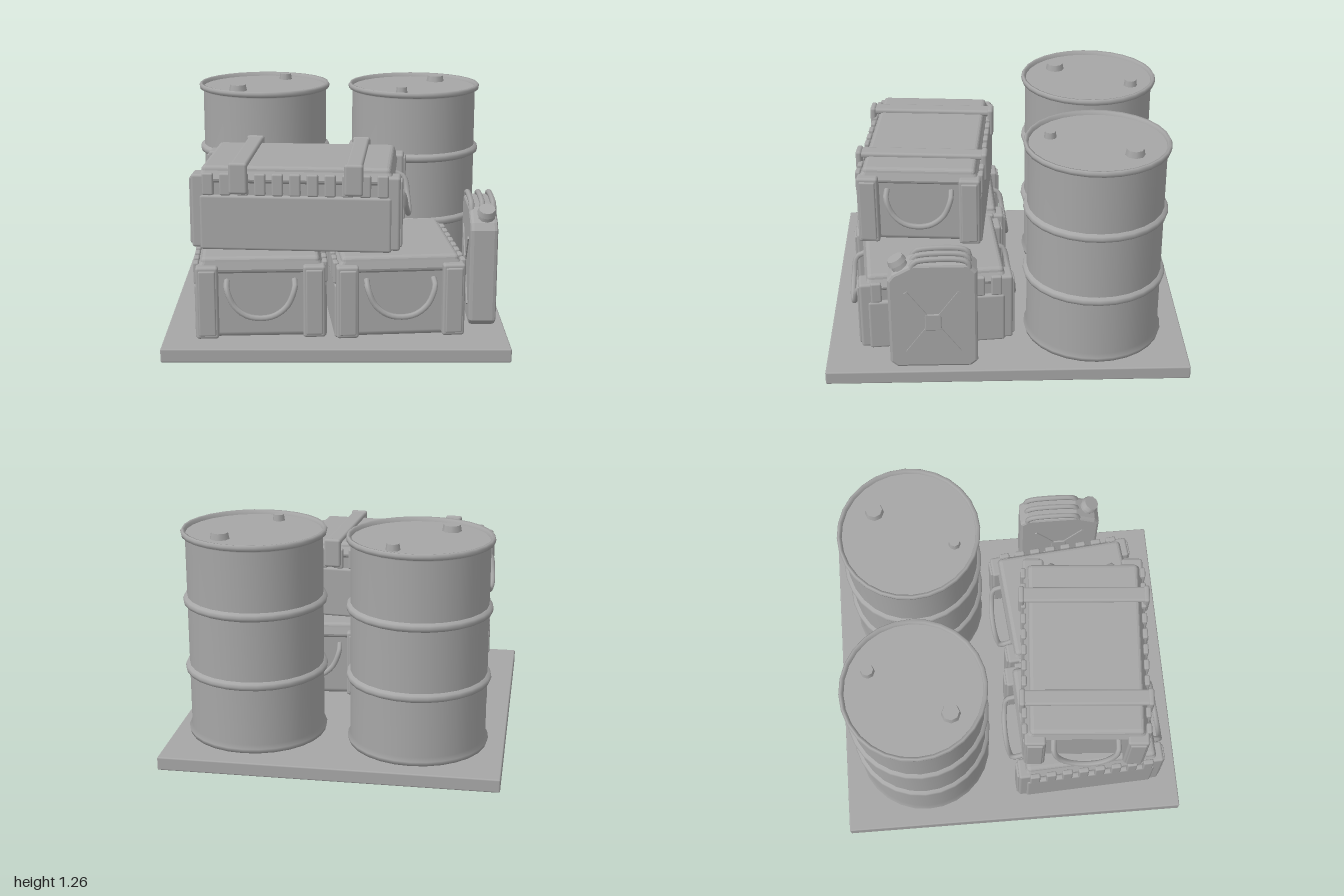
import * as THREE from 'three';
import { RoundedBoxGeometry } from 'three/addons/geometries/RoundedBoxGeometry.js';

const grey = new THREE.MeshStandardMaterial({ color: 0xa6a6a6 });
grey.name = 'plain grey';

function add(parent, name, geometry, x = 0, y = 0, z = 0) {
  const mesh = new THREE.Mesh(geometry, grey);
  mesh.name = name;
  mesh.position.set(x, y, z);
  parent.add(mesh);
  return mesh;
}

const soft = (w, h, d, r = 0.02) => new RoundedBoxGeometry(w, h, d, 2, r);

function group(parent, name, x, y, z, turn = 0) {
  const g = new THREE.Group();
  g.name = name;
  g.position.set(x, y, z);
  g.rotation.y = turn;
  parent.add(g);
  return g;
}

function tube(points, radius, segments = 20) {
  const curve = new THREE.CatmullRomCurve3(points.map(p => new THREE.Vector3(...p)));
  return new THREE.TubeGeometry(curve, segments, radius, 7, false);
}

// Steel drum; caps are [x, z, radius] on the lid
function drum(parent, x, z, caps) {
  const g = group(parent, 'drum', x, 0.075, z);
  const body = [[0, 0], [0.385, 0], [0.392, 0.025], [0.376, 0.045], [0.376, 1.13], [0.382, 1.14]];
  add(g, 'drumShell', new THREE.LatheGeometry(body.map(p => new THREE.Vector2(...p)), 28));
  // Sunken lid with a flat rolled rim
  const rim = [[0.376, 1.135], [0.396, 1.142], [0.4, 1.16], [0.392, 1.173], [0.378, 1.17], [0.372, 1.145]];
  add(g, 'drumRim', new THREE.LatheGeometry(rim.map(p => new THREE.Vector2(...p)), 28));
  add(g, 'drumLid', new THREE.CylinderGeometry(0.376, 0.376, 0.02, 28), 0, 1.14, 0);
  for (const y of [0.385, 0.775]) {
    const rib = [[0.374, -0.026], [0.394, -0.016], [0.399, 0], [0.394, 0.016], [0.374, 0.026]];
    add(g, 'drumRib', new THREE.LatheGeometry(rib.map(p => new THREE.Vector2(...p)), 28), 0, y, 0);
  }
  for (const [cx, cz, r] of caps) {
    add(g, 'drumCap', new THREE.CylinderGeometry(r * 0.85, r, 0.04, 8), cx - x, 1.165, cz - z);
  }
}

// Padded bag lying along its own z axis
function bag(parent, name, x, y, z, turn, length, belts) {
  const g = group(parent, name, x, y, z, turn);
  const w = 0.68, h = 0.47, half = length / 2;
  add(g, 'bagBody', soft(w - 0.05, h - 0.04, length - 0.08, 0.03), 0, h / 2 - 0.02, 0);
  // Lid with a gently sloping crown
  const lid = soft(w, 0.09, length - 0.04, 0.025);
  const p = lid.attributes.position;
  for (let i = 0; i < p.count; i++) {
    if (p.getY(i) > 0) p.setXYZ(i, p.getX(i) * 0.93, p.getY(i), p.getZ(i) * 0.97);
  }
  lid.computeVertexNormals();
  add(g, 'bagLid', lid, 0, h - 0.065, 0);
  for (const s of [-1, 1]) {
    // Long side panel with a row of webbing loops along its upper edge
    add(g, 'sidePanel', soft(0.035, h - 0.17, length - 0.06, 0.015), s * (w / 2 - 0.005), (h - 0.17) / 2, 0);
    const count = Math.round(length / 0.1);
    for (let i = 0; i < count; i++) {
      const t = (i + 0.5) / count - 0.5;
      add(g, 'webbingLoop', soft(0.03, 0.12, 0.06, 0.01), s * (w / 2 + 0.003), h - 0.11, t * (length - 0.06));
    }
    // Corner pockets at each end
    for (const c of [-1, 1]) {
      add(g, 'cornerPocket', soft(0.12, h - 0.07, 0.12, 0.015), c * (w / 2 - 0.055), (h - 0.07) / 2 + 0.01, s * (half - 0.045));
      add(g, 'pocketStrap', soft(0.09, h - 0.11, 0.02, 0.008), c * (w / 2 - 0.055), (h - 0.07) / 2 + 0.01, s * (half + 0.016));
    }
    // Hanging carry handle
    const e = half - 0.04;
    const arc = [[-0.18, 0.32, e], [-0.18, 0.29, e + 0.06], [-0.14, 0.2, e + 0.08], [-0.06, 0.145, e + 0.09],
      [0.06, 0.145, e + 0.09], [0.14, 0.2, e + 0.08], [0.18, 0.29, e + 0.06], [0.18, 0.32, e]];
    add(g, 'carryHandle', tube(arc.map(([a, b, c]) => [a, b, s * c]), 0.016, 24));
  }
  // Belts over the lid, with buckles hanging at both sides
  for (const b of belts) {
    add(g, 'belt', soft(w + 0.03, 0.035, 0.09, 0.015), 0, h - 0.015, b);
    for (const s of [-1, 1]) {
      add(g, 'beltEnd', soft(0.035, 0.17, 0.1, 0.015), s * (w / 2 + 0.015), h - 0.075, b);
    }
  }
}

// Fuel can, seen edge-on from the front
function fuelCan(parent) {
  const g = group(parent, 'fuelCan', 0.805, 0.075, 0.405);
  // Outline in (z, y), extruded across x
  const outline = [[-0.2, 0], [0.2, 0], [0.235, 0.03], [0.235, 0.54], [0.21, 0.575], [0.1, 0.635], [-0.19, 0.635], [-0.235, 0.59], [-0.235, 0.03]];
  const shape = new THREE.Shape(outline.map(([z, y]) => new THREE.Vector2(-z, y)));
  const shell = new THREE.ExtrudeGeometry(shape, { depth: 0.11, bevelEnabled: true, bevelThickness: 0.02, bevelSize: 0.015, bevelOffset: -0.01, bevelSegments: 2 });
  shell.rotateY(Math.PI / 2);
  add(g, 'canShell', shell, -0.055, 0.005, 0);
  for (const s of [-1, 1]) {
    // Pressed cross with a centre boss on both broad sides
    for (const d of [-1, 1]) {
      for (const k of [-1, 1]) {
        const from = new THREE.Vector3(0, 0.29 + k * 0.04, d * 0.035);
        const to = new THREE.Vector3(0, 0.29 + k * 0.19, d * 0.145);
        const beam = add(g, 'pressedRib', new THREE.BoxGeometry(0.014, 0.018, from.distanceTo(to)), s * 0.075, (from.y + to.y) / 2, (from.z + to.z) / 2);
        beam.rotation.x = -Math.atan2(to.y - from.y, to.z - from.z);
      }
    }
    add(g, 'pressedBoss', soft(0.016, 0.1, 0.09, 0.006), s * 0.075, 0.29, 0);
  }
  // Three parallel grips
  for (const x of [-0.06, 0, 0.06]) {
    const path = [[x, 0.6, 0.12], [x, 0.655, 0.09], [x, 0.668, 0.04], [x, 0.668, -0.15], [x, 0.65, -0.19], [x, 0.6, -0.2]];
    add(g, 'canGrip', tube(path, 0.016, 16));
  }
  // Tilted spout and cap
  const spout = add(g, 'canSpout', new THREE.CylinderGeometry(0.042, 0.05, 0.08, 10), 0.015, 0.615, 0.175);
  spout.rotation.x = 0.45;
  const cap = add(g, 'canCap', new THREE.CylinderGeometry(0.045, 0.054, 0.03, 10), 0.015, 0.645, 0.19);
  cap.rotation.x = 0.45;
}

export function createModel() {
  const model = new THREE.Group();
  model.name = 'supplyPallet';
  add(model, 'basePlate', soft(1.85, 0.075, 2, 0.008), 0, 0.0375, 0);
  drum(model, -0.44, -0.515, [[-0.32, -0.755, 0.04], [-0.59, -0.325, 0.055]]);
  drum(model, 0.475, -0.49, [[0.62, -0.675, 0.055], [0.39, -0.24, 0.035]]);
  bag(model, 'lowerLeftBag', -0.42, 0.075, 0.44, 0.05, 0.82, []);
  bag(model, 'lowerRightBag', 0.31, 0.075, 0.42, 0.09, 0.82, []);
  bag(model, 'upperBag', -0.19, 0.55, 0.445, Math.PI / 2 - 0.075, 1.08, [-0.3, 0.31]);
  fuelCan(model);
  return model;
}
